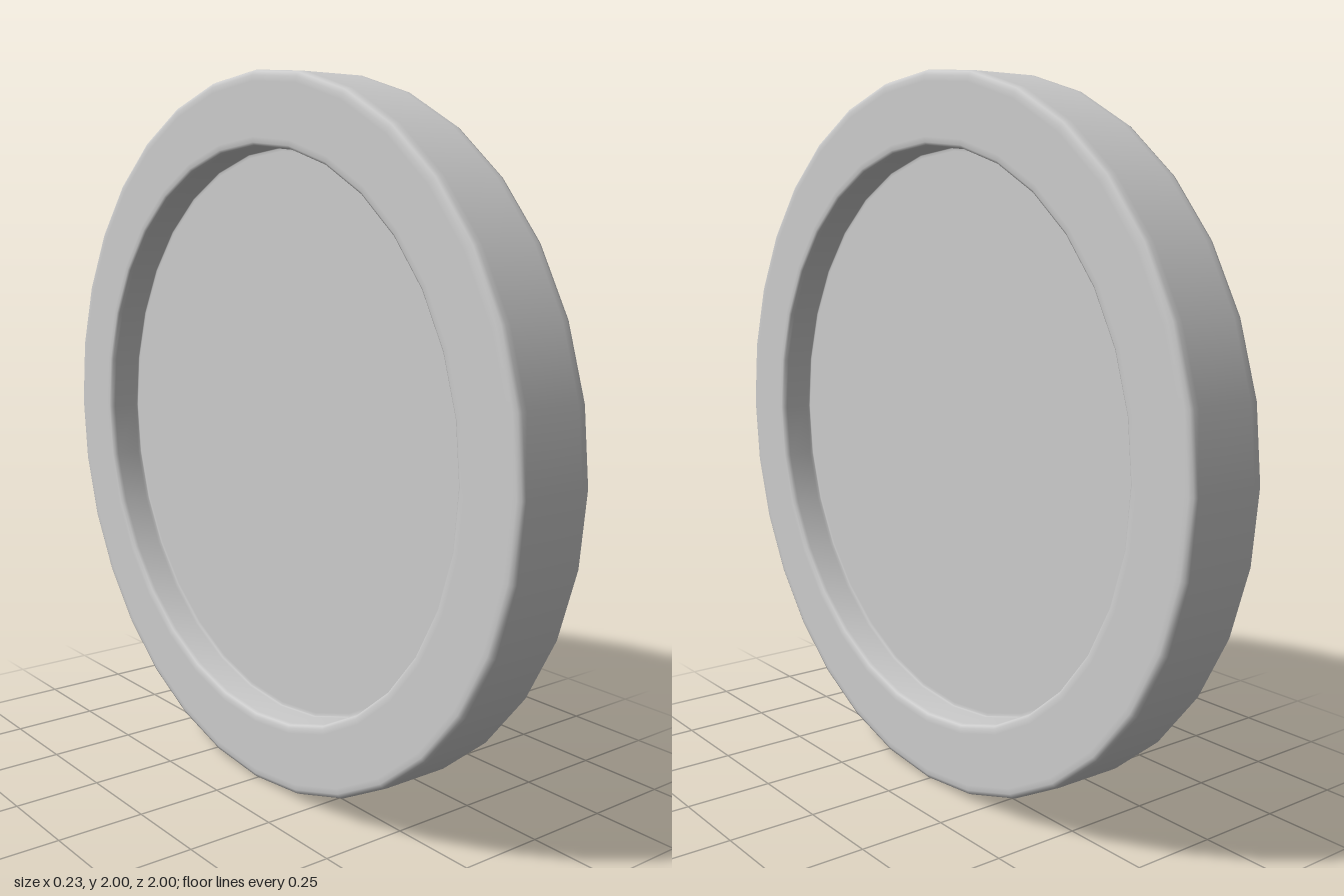
import * as THREE from 'three';

const HALF = 0.115;   // half of the rim thickness
const FLOOR = 0.015;  // half of the recessed plate thickness
const BEVEL = 0.015;
const SIDES = 32;

export function createModel() {
  const group = new THREE.Group();
  group.name = 'disc';
  const material = new THREE.MeshStandardMaterial({ color: 0xcccccc });

  // One half of the cross-section [radius, height], from the centre to the outer wall;
  // close support points keep the flat areas flat under smooth normals
  const half = [
    [0, FLOOR], [0.79, FLOOR], [0.798, FLOOR], [0.8, FLOOR + 0.002], [0.8, FLOOR + 0.01],
    [0.8, HALF - BEVEL], [0.803, HALF - 0.005], [0.81, HALF], [0.825, HALF],
    [0.97, HALF], [1 - BEVEL, HALF], [0.996, HALF - 0.005], [1, HALF - BEVEL], [1, HALF - 0.03],
  ];
  const lower = half.map(([r, h]) => new THREE.Vector2(r, -h));
  const upper = half.map(([r, h]) => new THREE.Vector2(r, h)).reverse();

  // Raised rim with a recessed face on both sides, standing on its edge
  const body = new THREE.Mesh(new THREE.LatheGeometry([...lower, ...upper], SIDES), material);
  body.name = 'rimmedDisc';
  body.rotation.z = -Math.PI / 2;
  body.position.y = 1;
  group.add(body);
  return group;
}
